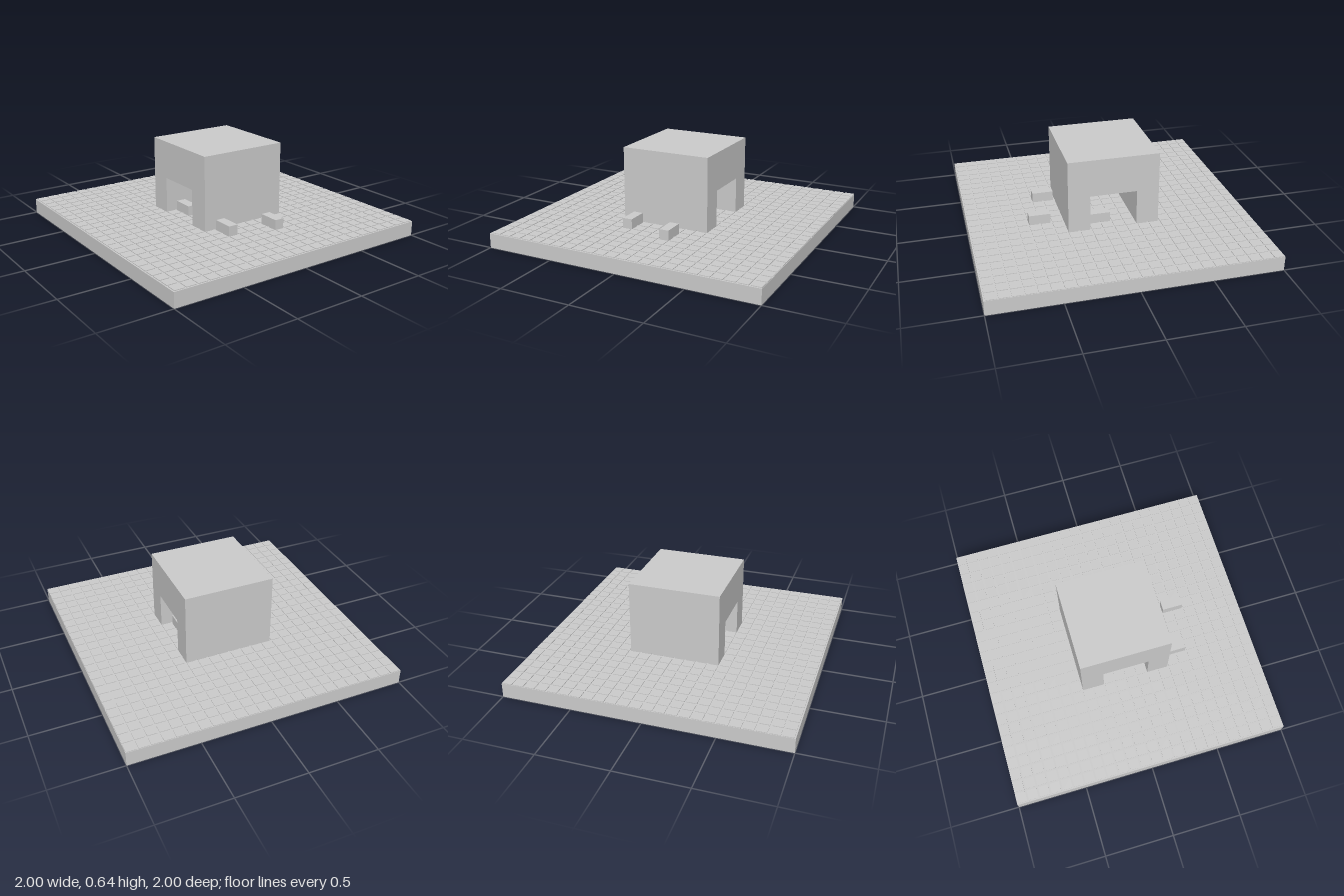
import * as THREE from 'three';
import { mergeGeometries } from 'three/addons/utils/BufferGeometryUtils.js';

const CELLS = 24;
const PITCH = 2 / CELLS;
const GAP = 0.013;
const FLOOR = 0.11;    // top of the paving
const GROOVE = 0.005;  // depth of the joints

// near edge of a grid cell, with the joint left mostly on the far side
const edge = (i) => -1 + i * PITCH + 0.003;

// box covering nx by nz cells, standing on y
function block(ix, iz, nx, nz, y, h) {
  const w = nx * PITCH - GAP;
  const d = nz * PITCH - GAP;
  return new THREE.BoxGeometry(w, h, d).translate(edge(ix) + w / 2, y + h / 2, edge(iz) + d / 2);
}

export function createModel() {
  const group = new THREE.Group();
  const material = new THREE.MeshStandardMaterial({ color: 0xcccccc, flatShading: true });
  const add = (name, geometry) => {
    const mesh = new THREE.Mesh(geometry, material);
    mesh.name = name;
    group.add(mesh);
  };

  // ground slab
  const slabHeight = FLOOR - GROOVE;
  add('groundSlab', new THREE.BoxGeometry(2, slabHeight, 2).translate(0, slabHeight / 2, 0));

  // paving tiles with shallow joints between them
  const tiles = [];
  for (let i = 0; i < CELLS; i++) {
    for (let j = 0; j < CELLS; j++) tiles.push(block(i, j, 1, 1, slabHeight, GROOVE));
  }
  add('pavingTiles', mergeGeometries(tiles));

  // gatehouse: a block with a square passage from front to back
  const x0 = edge(8);
  const x1 = edge(16) - GAP;
  const outline = new THREE.Shape([
    [x0, FLOOR], [-0.17, FLOOR], [-0.17, 0.367], [0.167, 0.367],
    [0.167, FLOOR], [x1, FLOOR], [x1, 0.64], [x0, 0.64],
  ].map(([x, y]) => new THREE.Vector2(x, y)));
  const house = new THREE.ExtrudeGeometry(outline, { depth: x1 - x0, bevelEnabled: false });
  add('gatehouse', house.translate(0, 0, x0));

  // loose bricks: [column, row]
  const bricks = [[10, 14], [16, 14], [17, 10], [12, 9]];
  bricks.forEach(([ix, iz], n) => add(`looseBrick${n + 1}`, block(ix, iz, 2, 1, FLOOR, 0.068)));

  return group;
}
